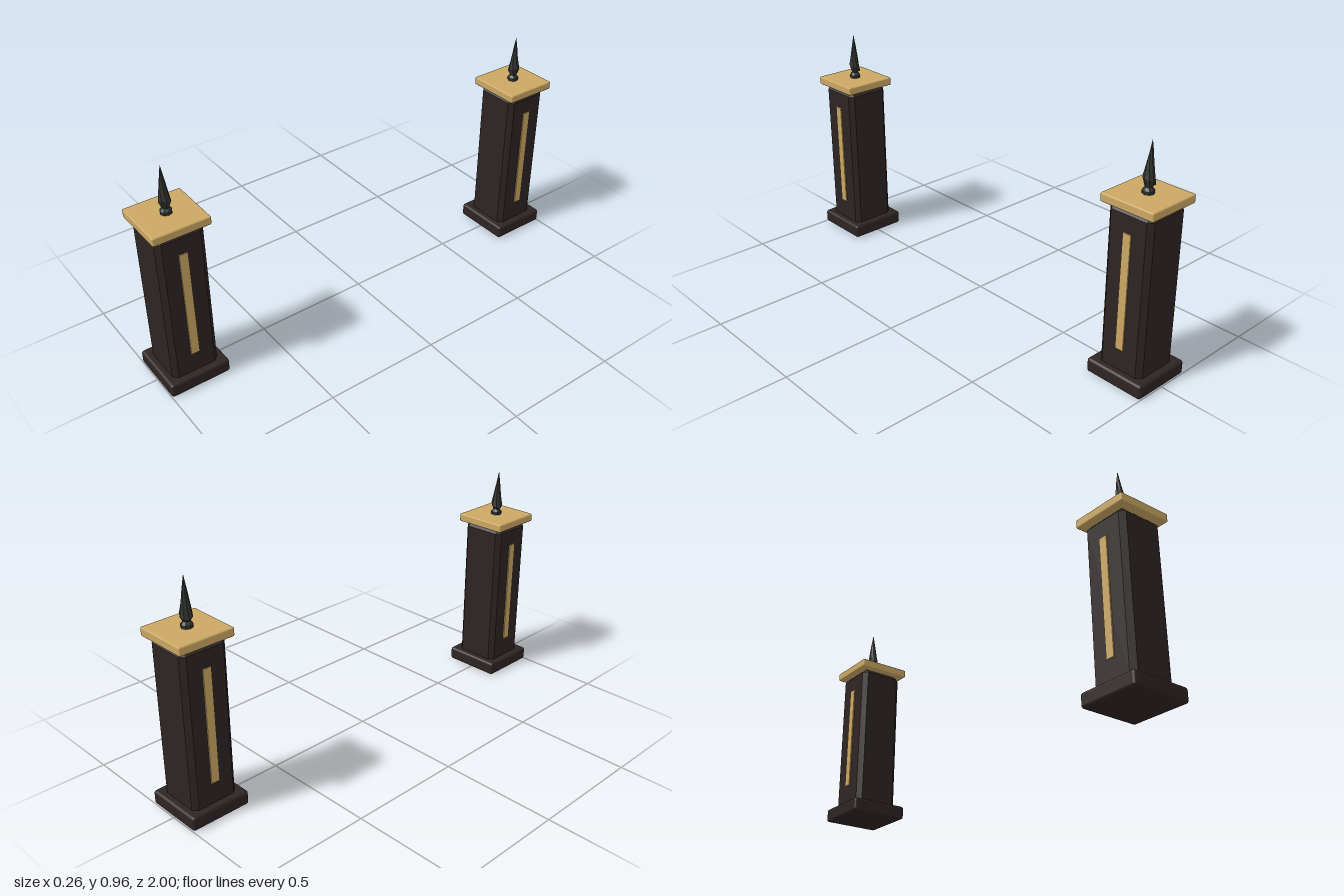
import * as THREE from 'three';
import { RoundedBoxGeometry } from 'three/addons/geometries/RoundedBoxGeometry.js';
import { ConvexGeometry } from 'three/addons/geometries/ConvexGeometry.js';

const material = (name, color, extra = {}) => {
  const m = new THREE.MeshStandardMaterial({ color, ...extra });
  m.name = name;
  return m;
};

// Box with every edge cut flat
function chamferedBox(w, h, d, c) {
  const points = [];
  for (const sx of [-1, 1]) for (const sy of [-1, 1]) for (const sz of [-1, 1]) {
    const x = w / 2, y = h / 2, z = d / 2;
    points.push(
      new THREE.Vector3(sx * x, sy * (y - c), sz * (z - c)),
      new THREE.Vector3(sx * (x - c), sy * y, sz * (z - c)),
      new THREE.Vector3(sx * (x - c), sy * (y - c), sz * z)
    );
  }
  return new ConvexGeometry(points);
}

// Faceted, slightly twisted flame-shaped spike
function spikeGeometry() {
  const profile = [
    [0, 0], [0.023, 0], [0.024, 0.015], [0.014, 0.027],
    [0.025, 0.05], [0.018, 0.09], [0.009, 0.15], [0, 0.205]
  ].map(([r, y]) => new THREE.Vector2(r, y));
  const geometry = new THREE.LatheGeometry(profile, 8);
  const p = geometry.attributes.position;
  for (let i = 0; i < p.count; i++) {
    const x = p.getX(i), y = p.getY(i), z = p.getZ(i);
    const t = Math.max(0, y - 0.027);
    const a = t * 5, c = Math.cos(a), s = Math.sin(a);
    const tilt = y > 0.04 && y < 0.12 ? x * 0.55 + z * 0.2 : 0;
    p.setXYZ(i, x * c - z * s - t * 0.015, y + tilt, x * s + z * c);
  }
  geometry.computeVertexNormals();
  return geometry;
}

export function createModel() {
  const wood = material('dark wood', 0x2e2423);
  const gold = material('gold', 0xcba763);
  const iron = material('dark iron', 0x31342f, { flatShading: true });

  const shaftGeometry = chamferedBox(0.2, 0.68, 0.2, 0.02);
  const flame = spikeGeometry();

  function makePost(name, z) {
    const post = new THREE.Group();
    post.name = name;
    post.position.z = z;
    const add = (part, geometry, mat, x, y) => {
      const mesh = new THREE.Mesh(geometry, mat);
      mesh.name = part;
      mesh.position.set(x, y, 0);
      post.add(mesh);
    };
    add('base', new RoundedBoxGeometry(0.26, 0.06, 0.26, 3, 0.012), wood, 0, 0.03);
    add('shaft', shaftGeometry, wood, 0, 0.38);
    add('cap', new RoundedBoxGeometry(0.238, 0.036, 0.238, 2, 0.006), gold, 0, 0.738);
    // Thin strips on both sides of the shaft
    for (const [side, s] of [['left', 1], ['right', -1]])
      add(side + 'Strip', new THREE.BoxGeometry(0.008, 0.48, 0.036), gold, s * 0.101, 0.39);
    add('spike', flame, iron, 0, 0.754);
    return post;
  }

  const model = new THREE.Group();
  model.name = 'gatePosts';
  model.add(makePost('frontPost', 0.87), makePost('backPost', -0.87));
  return model;
}
